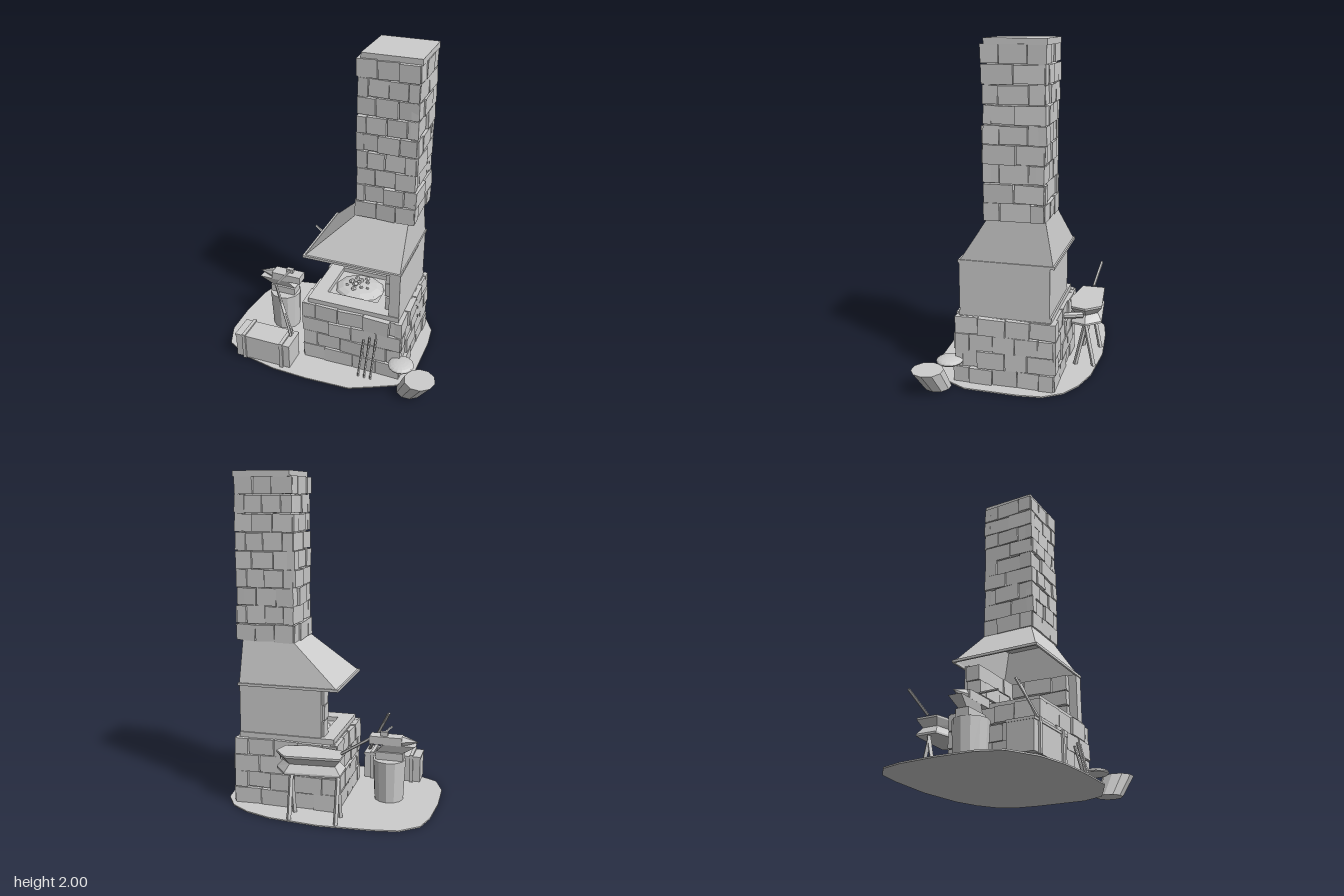
import * as THREE from 'three';

const grey = new THREE.MeshStandardMaterial({ color: 0xcccccc, flatShading: true });
grey.name = 'stone grey';
const greySheet = new THREE.MeshStandardMaterial({ color: 0xcccccc, flatShading: true, side: THREE.DoubleSide });
greySheet.name = 'stone grey';

let seed = 7;
const rand = (a, b) => {
  seed = (seed * 16807) % 2147483647;
  return a + (b - a) * (seed / 2147483647);
};

function add(parent, name, geo, x = 0, y = 0, z = 0, mat = grey) {
  const m = new THREE.Mesh(geo, mat);
  m.name = name;
  m.position.set(x, y, z);
  parent.add(m);
  return m;
}

// Box given by its two opposite corners
function box(parent, name, x0, x1, y0, y1, z0, z1) {
  return add(parent, name, new THREE.BoxGeometry(x1 - x0, y1 - y0, z1 - z0),
    (x0 + x1) / 2, (y0 + y1) / 2, (z0 + z1) / 2);
}

// Square bar between two points
function bar(parent, name, a, b, r = 0.007, sides = 5) {
  const p = new THREE.Vector3(...a), q = new THREE.Vector3(...b);
  const m = add(parent, name, new THREE.CylinderGeometry(r, r, p.distanceTo(q), sides));
  m.position.lerpVectors(p, q, 0.5);
  m.quaternion.setFromUnitVectors(new THREE.Vector3(0, 1, 0), q.sub(p).normalize());
  return m;
}

// Closed or open skin over cross-section rings with equal point counts
function loft(rings, capped) {
  const n = rings[0].length, pos = rings.flat(2), idx = [];
  for (let k = 0; k < rings.length - 1; k++)
    for (let i = 0; i < n; i++) {
      const a = k * n + i, b = k * n + (i + 1) % n;
      idx.push(a, a + n, b, b, a + n, b + n);
    }
  if (capped)
    for (let i = 1; i < n - 1; i++) {
      const t = (rings.length - 1) * n;
      idx.push(0, i, i + 1, t, t + i + 1, t + i);
    }
  const g = new THREE.BufferGeometry();
  g.setAttribute('position', new THREE.Float32BufferAttribute(pos, 3));
  g.setIndex(idx);
  g.computeVertexNormals();
  return g;
}

const rect = (x0, x1, y, z0, z1) => [[x0, y, z0], [x1, y, z0], [x1, y, z1], [x0, y, z1]];

// Rows of uneven bricks along a straight line, local x = along, local z = outwards
function brickRows(parent, name, len, rows, h, y0, brick, depth, shift = 0) {
  const g = new THREE.Group();
  g.name = name;
  parent.add(g);
  for (let r = 0; r < rows; r++) {
    const odd = (r + shift) % 2;
    const n = Math.round(len / brick) + odd;
    const widths = Array.from({ length: n }, (_, i) =>
      rand(0.85, 1.15) * (odd && (i === 0 || i === n - 1) ? 0.55 : 1));
    const scale = len / widths.reduce((a, b) => a + b);
    let x = -len / 2;
    for (const w0 of widths) {
      const w = w0 * scale;
      const m = add(g, 'brick', new THREE.BoxGeometry(w - 0.004, h * rand(0.9, 1), depth),
        x + w / 2, y0 + (r + 0.5) * h, rand(-0.008, 0.01));
      m.rotation.set(rand(-0.04, 0.04), rand(-0.04, 0.04), rand(-0.035, 0.035));
      x += w;
    }
  }
  return g;
}

// Solid core wrapped by four brick faces
function brickBlock(parent, name, x0, x1, z0, z1, y0, rows, h, brick) {
  const g = new THREE.Group();
  g.name = name;
  parent.add(g);
  const inset = 0.025, cx = (x0 + x1) / 2, cz = (z0 + z1) / 2;
  box(g, 'core', x0 + inset, x1 - inset, y0, y0 + rows * h, z0 + inset, z1 - inset);
  [[cx, z1 - inset, x1 - x0], [x1 - inset, cz, z1 - z0], [cx, z0 + inset, x1 - x0], [x0 + inset, cz, z1 - z0]]
    .forEach(([x, z, len], i) => {
      const face = brickRows(g, 'brickFace', len - 0.01, rows, h, y0, brick, 0.045, i);
      face.position.set(x, 0, z);
      face.rotation.y = i * Math.PI / 2;
    });
}

export function createModel() {
  const model = new THREE.Group();
  model.name = 'forge';

  // Ground patch
  const outline = [[-0.73, 0], [-0.71, -0.22], [-0.67, -0.35], [-0.56, -0.44], [-0.4, -0.47], [-0.1, -0.495],
    [0.2, -0.47], [0.36, -0.42], [0.47, -0.35], [0.54, -0.24], [0.555, -0.1], [0.55, 0.22], [0.48, 0.36],
    [0.34, 0.43], [0.21, 0.49], [-0.07, 0.5], [-0.3, 0.49], [-0.5, 0.45], [-0.67, 0.36], [-0.725, 0.22]];
  const ground = new THREE.ExtrudeGeometry(
    new THREE.Shape(outline.map(([x, z]) => new THREE.Vector2(x, -z))), { depth: 0.008, bevelEnabled: false });
  add(model, 'ground', ground.rotateX(-Math.PI / 2));

  // Brick hearth with a raised rim around the fire bed
  brickBlock(model, 'hearthBase', -0.17, 0.48, -0.3, 0.3, 0.005, 4, 0.104, 0.16);
  box(model, 'rimFront', -0.14, 0.45, 0.415, 0.45, 0.17, 0.275);
  box(model, 'rimBack', -0.14, 0.45, 0.415, 0.45, -0.275, -0.12);
  box(model, 'rimLeft', 0.28, 0.45, 0.415, 0.45, -0.12, 0.17);
  box(model, 'rimRight', -0.14, -0.05, 0.415, 0.45, -0.12, 0.17);
  const bed = add(model, 'ashBed', new THREE.SphereGeometry(1, 10, 4, 0, Math.PI * 2, 0, Math.PI / 2), 0.115, 0.42, 0.025);
  bed.scale.set(0.16, 0.04, 0.14);
  for (let i = 0; i < 11; i++) {
    const a = i * 2.4, r = 0.025 * Math.sqrt(i);
    const c = add(model, 'coal', new THREE.DodecahedronGeometry(rand(0.012, 0.02)),
      0.11 + r * Math.cos(a), 0.47 - r * 0.25, 0.03 + r * Math.sin(a));
    c.rotation.set(i, i * 2, 0);
  }

  // Plastered back and side walls with brick lining
  box(model, 'backWall', -0.06, 0.45, 0.43, 0.75, -0.265, -0.235);
  box(model, 'sideWall', 0.385, 0.45, 0.43, 0.75, -0.265, 0.27);
  brickRows(model, 'backLining', 0.46, 3, 0.097, 0.45, 0.17, 0.09).position.set(0.155, 0, -0.2);
  const sideLining = brickRows(model, 'sideLining', 0.38, 3, 0.097, 0.45, 0.16, 0.05, 1);
  sideLining.position.set(0.365, 0, 0.03);
  sideLining.rotation.y = -Math.PI / 2;

  // Sloping hood with a lip
  add(model, 'hood', loft([rect(-0.16, 0.445, 0.75, -0.283, 0.268), rect(0.115, 0.435, 1.01, -0.235, 0.1)]),
    0, 0, 0, greySheet);
  box(model, 'lipFront', -0.168, 0.452, 0.742, 0.758, 0.264, 0.276);
  box(model, 'lipBack', -0.168, 0.452, 0.742, 0.758, -0.291, -0.279);
  box(model, 'lipLeft', 0.44, 0.452, 0.742, 0.758, -0.285, 0.27);
  box(model, 'lipRight', -0.168, -0.156, 0.742, 0.758, -0.285, 0.27);

  // Chimney and cap
  brickBlock(model, 'chimney', 0.11, 0.475, -0.24, 0.115, 1.005, 9, 0.1075, 0.14);
  box(model, 'chimneyCap', 0.13, 0.475, 1.965, 2, -0.248, 0.1);

  // Chest with two straps
  const chest = new THREE.Group();
  chest.name = 'chest';
  model.add(chest);
  box(chest, 'chestBody', -0.57, -0.2, 0.012, 0.178, 0.305, 0.455);
  box(chest, 'chestLidEdge', -0.573, -0.197, 0.168, 0.182, 0.3, 0.46);
  for (const x of [-0.512, -0.253]) box(chest, 'strap', x - 0.011, x + 0.011, 0.008, 0.192, 0.294, 0.466);

  // Stump and anvil
  add(model, 'stump', new THREE.CylinderGeometry(0.102, 0.09, 0.265, 12), -0.42, 0.1325, 0.01);
  const anvil = new THREE.Group();
  anvil.name = 'anvil';
  model.add(anvil);
  box(anvil, 'anvilFoot', -0.51, -0.34, 0.262, 0.312, -0.03, 0.05);
  add(anvil, 'anvilWaist', loft([rect(-0.505, -0.34, 0.31, -0.015, 0.035), rect(-0.585, -0.39, 0.362, -0.03, 0.05)], true));
  box(anvil, 'anvilFace', -0.5, -0.3, 0.36, 0.41, -0.03, 0.05);
  const horn = add(anvil, 'anvilHorn', new THREE.ConeGeometry(0.036, 0.1, 6), -0.55, 0.383, 0.01);
  horn.rotation.z = Math.PI / 2;
  horn.scale.z = 0.95;

  // Hammer lying on the anvil
  bar(model, 'hammerHandle', [-0.385, 0.424, 0], [-0.405, 0.418, 0.165]);
  box(model, 'hammerHead', -0.41, -0.365, 0.41, 0.436, -0.012, 0.014);

  // Tongs leaning across the chest
  bar(model, 'tongsArm', [-0.372, 0.48, 0.25], [-0.225, 0.19, 0.365], 0.008);
  bar(model, 'tongsArm', [-0.36, 0.47, 0.262], [-0.222, 0.195, 0.345], 0.007);

  // Pokers leaning on the hearth
  for (const x of [0.23, 0.27, 0.31])
    bar(model, 'poker', [x, 0.012, 0.37], [x + 0.012, x === 0.23 ? 0.25 : 0.28, 0.305], 0.007);

  // Bellows: two boards joined by a folded-in skin
  const board = [[-0.23, -0.48], [0.09, -0.51], [0.165, -0.42], [0.14, -0.33], [0, -0.3], [-0.23, -0.34]];
  const ring = (y, s) => board.map(([x, z]) => [-0.04 + (x + 0.04) * (s + (1 - s) * 0.35), y, -0.405 + (z + 0.405) * s]);
  add(model, 'bellows', loft([ring(0.3, 1), ring(0.312, 1), ring(0.355, 0.72), ring(0.398, 1), ring(0.41, 1)], true));
  bar(model, 'bellowsNozzle', [0.13, 0.36, -0.4], [0.175, 0.36, -0.28], 0.02, 8);
  bar(model, 'bellowsHandle', [-0.385, 0.53, -0.435], [-0.22, 0.42, -0.41], 0.009);
  for (const x of [-0.2, 0.08]) {
    for (const z of [-0.35, -0.465]) bar(model, 'trestleLeg', [x, 0.005, z], [x, 0.28, -0.408], 0.014, 4);
    bar(model, 'trestlePost', [x, 0.26, -0.408], [x, 0.32, -0.408], 0.014, 4);
  }

  // Leaning bucket and flat sack
  const hoop = (x, y, z, r) => Array.from({ length: 10 }, (_, i) => {
    const a = i * Math.PI / 5;
    return [x + r * Math.cos(a), y, z + r * Math.sin(a)];
  });
  add(model, 'bucket', loft([hoop(0.565, 0.01, 0.375, 0.08), hoop(0.635, 0.142, 0.41, 0.095)], true));
  const sack = add(model, 'sack', new THREE.SphereGeometry(0.08, 16, 10), 0.492, 0.145, 0.325);
  sack.scale.y = 0.3;

  return model;
}
